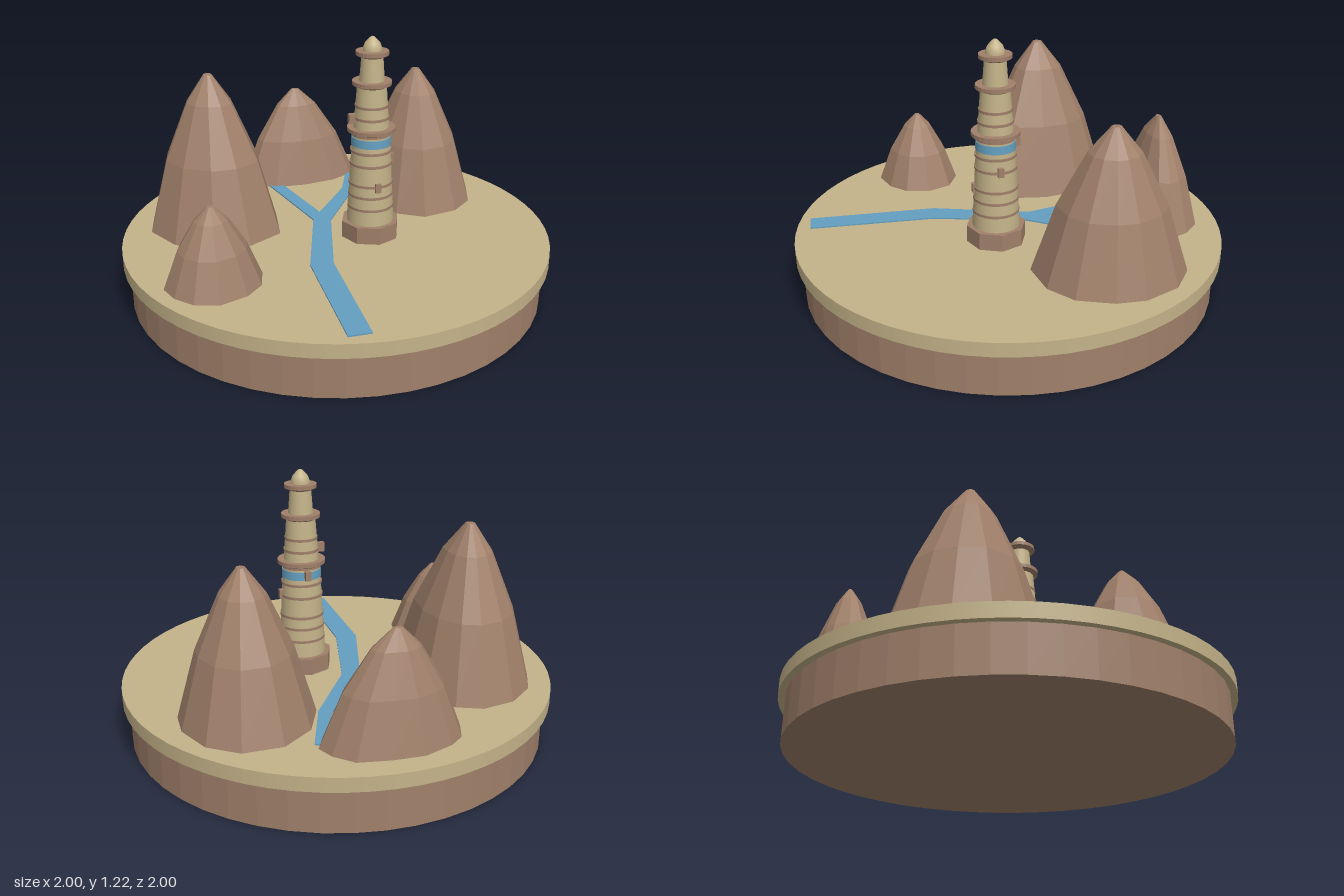
import * as THREE from 'three';

const material = (name, color, flatShading = false) => {
  const m = new THREE.MeshStandardMaterial({ color });
  m.name = name;
  m.flatShading = flatShading;
  return m;
};

const GROUND = 0.265;

export function createModel() {
  const sand = material('sand', 0xc4b389);
  const brown = material('rockBrown', 0xa0806a, true);
  const blue = material('waterBlue', 0x649fc0);
  const model = new THREE.Group();

  const add = (parent, name, geometry, mat, x = 0, y = 0, z = 0) => {
    const mesh = new THREE.Mesh(geometry, mat);
    mesh.name = name;
    mesh.position.set(x, y, z);
    parent.add(mesh);
    return mesh;
  };

  // Round base: brown drum under a wider sand disc
  add(model, 'baseDrum', new THREE.CylinderGeometry(0.97, 0.97, 0.2, 48), brown, 0, 0.1, 0);
  add(model, 'groundDisc', new THREE.CylinderGeometry(1, 1, 0.065, 64), sand, 0, 0.2325, 0);

  // River channels: points are [x, z, width]
  function channel(points) {
    const left = [], right = [];
    points.forEach(([x, z, w], i) => {
      const a = points[Math.max(0, i - 1)], b = points[Math.min(points.length - 1, i + 1)];
      const d = new THREE.Vector2(b[0] - a[0], b[1] - a[1]).normalize().multiplyScalar(w / 2);
      left.push(new THREE.Vector2(x - d.y, -(z + d.x)));
      right.unshift(new THREE.Vector2(x + d.y, -(z - d.x)));
    });
    const g = new THREE.ExtrudeGeometry(new THREE.Shape([...left, ...right]), { depth: 0.006, bevelEnabled: false });
    return g.rotateX(-Math.PI / 2);
  }
  const river = new THREE.Group();
  river.name = 'river';
  model.add(river);
  [
    ['mainRiver', [[-0.53, 0.78, 0.1], [-0.285, 0.245, 0.105], [0.02, -0.13, 0.085]]],
    ['northBranch', [[0, -0.09, 0.07], [0.1, -0.66, 0.065]]],
    ['eastBranch', [[0, -0.11, 0.085], [0.35, -0.325, 0.06], [0.545, -0.525, 0.05]]],
  ].forEach(([name, pts]) => add(river, name, channel(pts), blue, 0, GROUND, 0));

  // Mountains: an irregular outline shrinking towards the peak
  const rings = [[0, 1], [0.47, 0.7], [0.83, 0.34], [1, 0.065]]; // [height fraction, scale]
  function mountain(px, pz, top, outline) {
    const pts = outline.map(([x, z]) => [x - px, z - pz])
      .sort((a, b) => Math.atan2(a[1], a[0]) - Math.atan2(b[1], b[0]));
    const n = pts.length, pos = [], index = [];
    for (const [t, s] of rings) for (const [x, z] of pts) pos.push(x * s, t * (top - GROUND), z * s);
    pos.push(0, top - GROUND, 0);
    for (let r = 0; r < rings.length; r++) {
      for (let i = 0; i < n; i++) {
        const a = r * n + i, b = r * n + (i + 1) % n;
        if (r < rings.length - 1) index.push(a, a + n, b, b, a + n, b + n);
        else index.push(rings.length * n, b, a);
      }
    }
    const g = new THREE.BufferGeometry();
    g.setAttribute('position', new THREE.Float32BufferAttribute(pos, 3));
    g.setIndex(index);
    g.computeVertexNormals();
    return g;
  }
  [
    ['tallMountain', -0.39, -0.455, 1.0, [[-0.61, -0.66], [-0.5, -0.75], [-0.34, -0.79], [-0.19, -0.75],
      [-0.11, -0.66], [-0.075, -0.5], [-0.12, -0.32], [-0.235, -0.13], [-0.42, -0.11], [-0.57, -0.18],
      [-0.68, -0.34], [-0.695, -0.53]]],
    ['backMountain', 0.28, -0.68, 0.75, [[-0.01, -0.7], [0, -0.78], [0.07, -0.85], [0.15, -0.87],
      [0.29, -0.86], [0.41, -0.8], [0.53, -0.72], [0.57, -0.62], [0.57, -0.54], [0.51, -0.49],
      [0.38, -0.48], [0.22, -0.52], [0.08, -0.59]]],
    ['smallMountain', -0.73, 0.065, 0.615, [[-0.72, -0.13], [-0.85, -0.1], [-0.93, -0.01], [-0.935, 0.085],
      [-0.9, 0.18], [-0.82, 0.25], [-0.69, 0.26], [-0.59, 0.22], [-0.525, 0.13], [-0.525, 0.005], [-0.61, -0.09]]],
    ['sideMountain', 0.61, -0.11, 0.925, [[0.66, -0.44], [0.49, -0.4], [0.36, -0.28], [0.315, -0.1],
      [0.34, 0.06], [0.42, 0.18], [0.59, 0.22], [0.73, 0.18], [0.845, 0.06], [0.9, -0.06], [0.9, -0.235], [0.82, -0.37]]],
  ].forEach(([name, x, z, top, outline]) =>
    add(model, name, mountain(x, z, top, outline), brown, x, GROUND, z));

  // Tower
  const tower = new THREE.Group();
  tower.name = 'tower';
  tower.position.set(0.095, 0, 0.135);
  model.add(tower);
  const drum = (name, y0, y1, r0, r1, mat, sides = 24) =>
    add(tower, name, new THREE.CylinderGeometry(r1, r0, y1 - y0, sides), mat, 0, (y0 + y1) / 2, 0);

  drum('plinth', GROUND, 0.345, 0.137, 0.137, brown, 8).rotation.y = Math.PI / 8;
  drum('lowerTier', 0.345, 0.785, 0.109, 0.085, sand);
  drum('middleTier', 0.785, 1.0, 0.082, 0.066, sand);
  drum('upperTier', 1.0, 1.135, 0.058, 0.048, sand);
  drum('blueBand', 0.717, 0.755, 0.092, 0.09, blue);

  // Thin mouldings [height, radius]
  [[0.42, 0.106], [0.48, 0.103], [0.535, 0.101], [0.63, 0.097], [0.69, 0.094], [0.77, 0.089], [0.845, 0.08], [0.9, 0.075]]
    .forEach(([y, r]) => drum('moulding', y - 0.006, y + 0.006, r + 0.001, r + 0.001, brown));

  // Balconies with a stepped underside
  [[0.79, 0.11], [1.005, 0.089], [1.14, 0.074]].forEach(([y, r]) => {
    drum('balcony', y - 0.008, y + 0.01, r, r, brown);
    drum('balconySupport', y - 0.018, y - 0.008, r - 0.022, r - 0.008, brown);
  });

  // Domed cap
  const dome = [[0.042, 1.148], [0.042, 1.165], [0.034, 1.185], [0.018, 1.203], [0.008, 1.212], [0, 1.215]]
    .map(([r, y]) => new THREE.Vector2(r, y));
  add(tower, 'capDome', new THREE.LatheGeometry(dome, 20), sand);

  // Window boxes spiralling up the wall
  for (let i = 0; i < 4; i++) {
    const a = -0.38 + i * Math.PI / 2;
    const box = add(tower, 'windowBox', new THREE.BoxGeometry(0.026, 0.042, 0.04), brown,
      Math.sin(a) * 0.09, 0.533 + i * 0.104, Math.cos(a) * 0.09);
    box.rotation.y = a;
  }
  return model;
}
